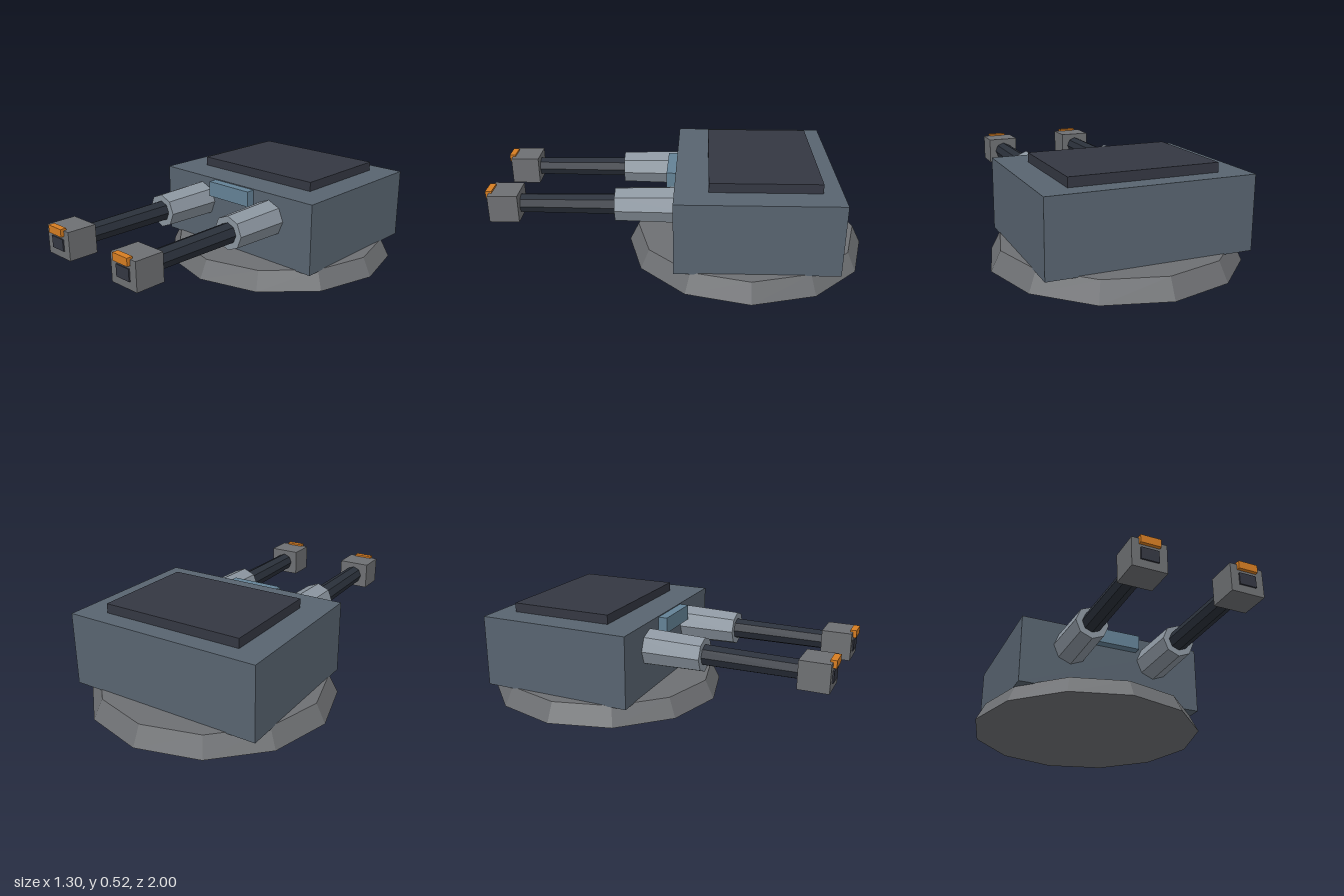
import * as THREE from 'three';

const paint = (color) => new THREE.MeshStandardMaterial({ color, flatShading: true });
const STEEL = paint(0x6e7073), HULL = paint(0x586470), DARK = paint(0x343742);
const SLEEVE = paint(0x8c96a0), BARREL = paint(0x2a303a), GLASS = paint(0x648296), ORANGE = paint(0xd67d22);

function add(parent, name, geometry, material) {
  const mesh = new THREE.Mesh(geometry, material);
  mesh.name = name;
  parent.add(mesh);
}

// Box given by its low and high corners
function box([x0, y0, z0], [x1, y1, z1]) {
  return new THREE.BoxGeometry(x1 - x0, y1 - y0, z1 - z0)
    .translate((x0 + x1) / 2, (y0 + y1) / 2, (z0 + z1) / 2);
}

// Eight-sided tube along z, from back to front
function tube(rBack, rFront, zBack, zFront) {
  return new THREE.CylinderGeometry(rFront, rBack, zFront - zBack, 8)
    .rotateX(Math.PI / 2)
    .translate(0, 0, (zBack + zFront) / 2);
}

// One gun, built around its own barrel axis
function createGun(name) {
  const gun = new THREE.Group();
  gun.name = name;
  add(gun, 'barrelSleeve', tube(0.1, 0.09, -0.04, 0.34), SLEEVE);
  add(gun, 'barrel', tube(0.057, 0.05, 0.2, 0.86), BARREL);
  add(gun, 'muzzleBlock', box([-0.086, -0.07, 0.83], [0.086, 0.075, 0.983]), STEEL);
  add(gun, 'muzzleOpening', box([-0.044, -0.03, 0.95], [0.044, 0.03, 0.99]), DARK);
  add(gun, 'muzzleMarker', box([-0.05, 0.046, 0.968], [0.05, 0.085, 1.0]), ORANGE);
  return gun;
}

export function createModel() {
  const turret = new THREE.Group();
  turret.name = 'turret';

  // Twelve-sided base ring
  add(turret, 'base', new THREE.CylinderGeometry(0.6, 0.65, 0.1, 12).translate(0, 0.05, -0.35), STEEL);

  // Housing, roof plate and sight
  add(turret, 'housing', box([-0.528, 0.095, -0.797], [0.528, 0.476, 0.034]), HULL);
  add(turret, 'roofPlate', box([-0.384, 0.46, -0.698], [0.384, 0.525, -0.137]), DARK);
  add(turret, 'sightWindow', box([-0.142, 0.388, 0], [0.142, 0.471, 0.082]), GLASS);

  // Twin guns
  for (const [name, side] of [['leftGun', 1], ['rightGun', -1]]) {
    const gun = createGun(name);
    gun.position.set(side * 0.247, 0.341, 0);
    turret.add(gun);
  }
  return turret;
}
